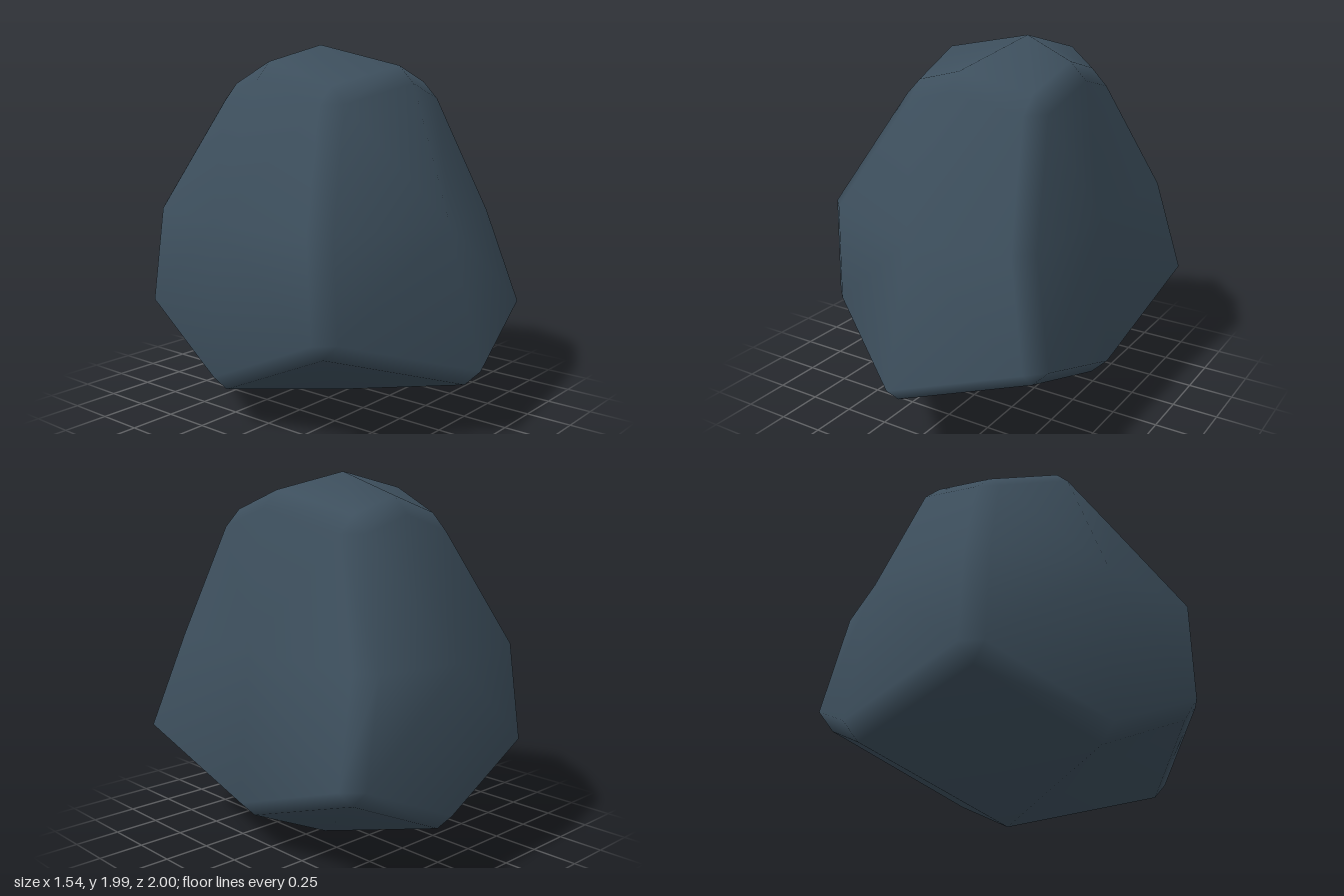
import * as THREE from 'three';

// Control cage: three layers (bottom, middle, top), each with rows back to front and points left to right.
const CAGE = [
  [
    [[-0.62, 0.49, -0.85], [0.20, 0.29, -1.00], [0.77, 0.50, -0.90]],
    [[-0.77, 0.21, -0.13], [0.14, 0.00, -0.04], [0.70, 0.21, 0.00]],
    [[-0.735, 0.49, 0.59], [-0.02, 0.29, 1.00], [0.745, 0.49, 0.83]],
  ],
  [
    [[-0.58, 1.10, -0.80], [0.10, 1.10, -0.94], [0.63, 1.10, -0.84]],
    [[-0.77, 1.10, -0.12], [0, 1, 0], [0.63, 1.10, 0.00]],
    [[-0.74, 1.10, 0.57], [-0.02, 1.10, 0.80], [0.60, 1.10, 0.70]],
  ],
  [
    [[-0.32, 1.78, -0.56], [0.15, 1.88, -0.64], [0.42, 1.79, -0.54]],
    [[-0.45, 1.90, -0.10], [0.10, 1.99, -0.14], [0.52, 1.90, 0.00]],
    [[-0.40, 1.78, 0.36], [0.05, 1.88, 0.52], [0.50, 1.79, 0.43]],
  ],
];
const BEVEL = 0.09;

function rockGeometry() {
  const positions = [], index = [], lookup = new Map();

  // Vertex of grid point g (-1, 0 or 1 per axis) on the face of one axis, drawn in from that face's rim.
  function vertex(g, axis) {
    const key = g.join() + '/' + axis;
    if (!lookup.has(key)) {
      const p = CAGE[g[1] + 1][g[2] + 1][g[0] + 1];
      lookup.set(key, positions.length / 3);
      positions.push(...p.map((v, i) => (i === axis ? v : v - BEVEL * g[i])));
    }
    return lookup.get(key);
  }

  // Adds a triangle, turned so that it faces away from the middle of the rock.
  function triangle(a, b, c) {
    const [A, B, C] = [a, b, c].map((i) => new THREE.Vector3().fromArray(positions, i * 3));
    const out = A.clone().add(B).add(C).divideScalar(3).sub(new THREE.Vector3(0, 1, 0));
    const normal = B.sub(A).cross(C.sub(A));
    if (normal.dot(out) >= 0) index.push(a, b, c);
    else index.push(a, c, b);
  }
  function quad(a, b, c, d) {
    triangle(a, b, c);
    triangle(a, c, d);
  }
  function grid(a, va, b, vb, c, vc) {
    const g = [0, 0, 0];
    g[a] = va; g[b] = vb; g[c] = vc;
    return g;
  }

  for (let a = 0; a < 3; a++) {
    const b = (a + 1) % 3, c = (a + 2) % 3;
    for (const s of [-1, 1]) {
      for (const t of [-1, 1]) {
        for (const u of [-1, 1]) {
          // Quarter of a broad side, split from its centre to its corner
          const at = (j, k) => vertex(grid(a, s, b, j, c, k), a);
          quad(at(0, 0), at(t, 0), at(t, u), at(0, u));
          // Half of a bevelled edge between two sides
          const mid = grid(a, s, b, t, c, 0), end = grid(a, s, b, t, c, u);
          quad(vertex(mid, a), vertex(end, a), vertex(end, b), vertex(mid, b));
          // Corner facet
          if (a === 0) triangle(vertex(end, 0), vertex(end, 1), vertex(end, 2));
        }
      }
    }
  }

  const geometry = new THREE.BufferGeometry();
  geometry.setAttribute('position', new THREE.Float32BufferAttribute(positions, 3));
  geometry.setIndex(index);
  geometry.computeVertexNormals();
  return geometry;
}

export function createModel() {
  const model = new THREE.Group();
  model.name = 'boulder';
  const stone = new THREE.MeshStandardMaterial({ color: 0x3d4f5d });
  stone.name = 'slate blue stone';
  const rock = new THREE.Mesh(rockGeometry(), stone);
  rock.name = 'rock';
  model.add(rock);
  return model;
}
